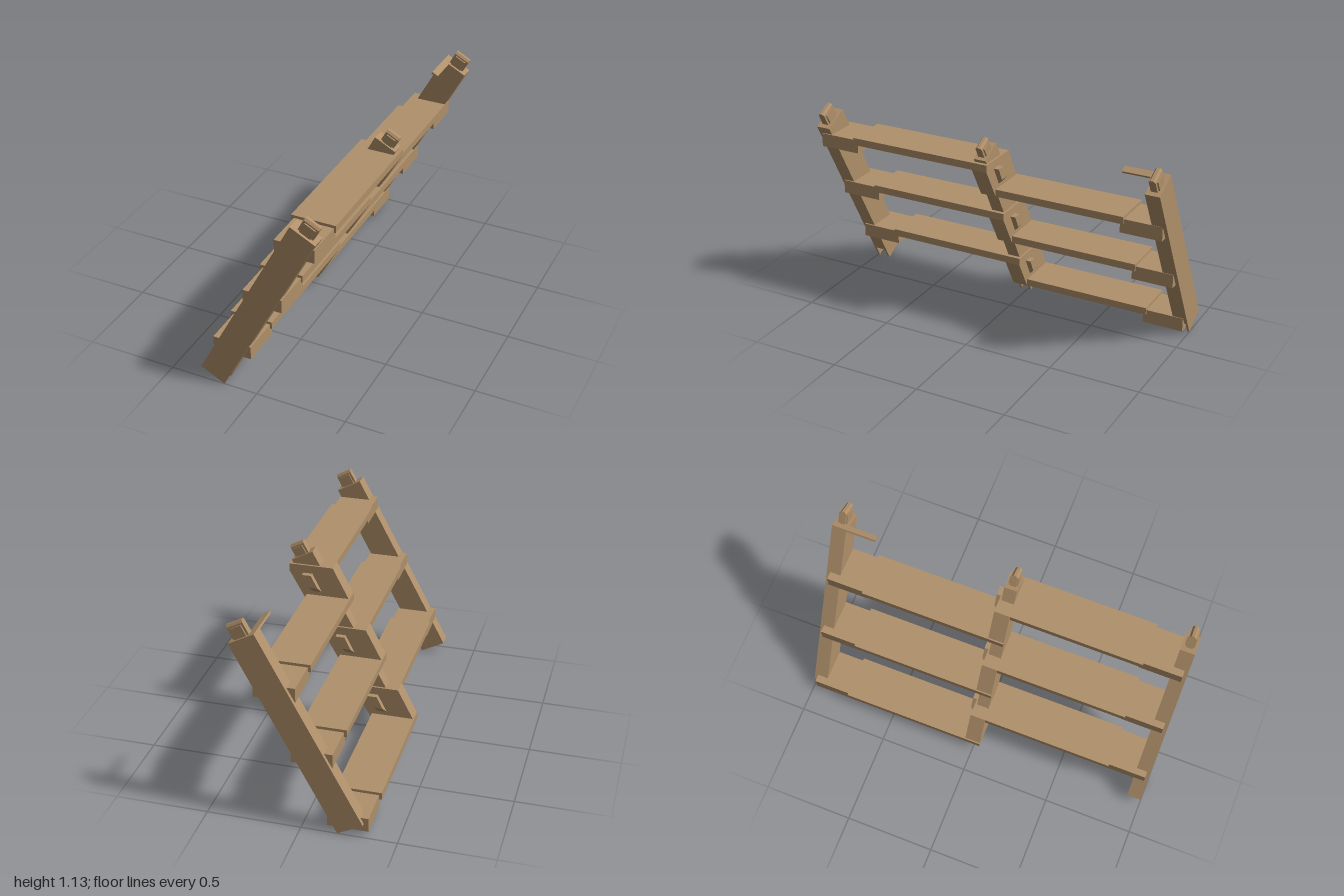
import * as THREE from 'three';

const wood = new THREE.MeshStandardMaterial({ color: 0xb0906a });
wood.name = 'tan wood';

function add(parent, name, geometry, x = 0, y = 0, z = 0) {
  const mesh = new THREE.Mesh(geometry, wood);
  mesh.name = name;
  mesh.position.set(x, y, z);
  parent.add(mesh);
  return mesh;
}

// box given by its extents
function block(parent, name, x0, x1, y0, y1, z0, z1) {
  return add(parent, name, new THREE.BoxGeometry(x1 - x0, y1 - y0, z1 - z0),
    (x0 + x1) / 2, (y0 + y1) / 2, (z0 + z1) / 2);
}

// flat outline in x and y, given thickness from z0 to z1
function slab(parent, name, points, z0, z1) {
  const shape = new THREE.Shape(points.map(p => new THREE.Vector2(p[0], p[1])));
  const g = new THREE.ExtrudeGeometry(shape, { depth: z1 - z0, bevelEnabled: false });
  return add(parent, name, g, 0, 0, z0);
}

// sloping rail with a slotted foot and a ribbed tenon on top
function makeRail(name, z, width, length, thick, tenonWidth, tenonLength) {
  const rail = new THREE.Group();
  rail.name = name;
  rail.position.set(0.011, 0.546, z);
  rail.rotation.z = -0.487;
  const w = width / 2, h = length / 2, t = thick / 2, cheek = 0.012;
  // core, cut away at the foot between the two cheeks
  slab(rail, 'railCore', [[-w, -h], [w - 0.07, -h], [w - 0.07, -h + 0.07],
    [w, -h + 0.07], [w, h], [-w, h]], -t + cheek, t - cheek);
  for (const s of [-1, 1]) {
    const c = s * (t - cheek / 2);
    block(rail, 'railCheek', -w, w, -h, h, c - cheek / 2, c + cheek / 2);
  }
  // tenon with chamfered top
  const n = 0.018, e = tenonWidth / 2, top = h + tenonLength;
  const profile = [[-n, h], [n, h], [n, top - 0.012], [n - 0.01, top], [-n + 0.01, top], [-n, top - 0.012]];
  const tenon = slab(rail, 'tenon', profile, -e, e);
  tenon.rotation.y = Math.PI / 2;
  tenon.position.set(-e + 0.005, 0, 0);
  for (const s of [-1, 1]) {
    block(rail, 'tenonRib', -e + 0.017, e - 0.008, h, top - 0.02, s * 0.021 - 0.005, s * 0.021 + 0.005);
  }
  return rail;
}

export function createModel() {
  const model = new THREE.Group();
  model.name = 'staggeredStair';

  model.add(makeRail('frontRail', 0.96, 0.15, 1.14, 0.08, 0.09, 0.08));
  model.add(makeRail('middleRail', 0, 0.13, 1.115, 0.07, 0.08, 0.07));
  const backRail = makeRail('backRail', -0.96, 0.15, 1.14, 0.08, 0.09, 0.08);
  model.add(backRail);
  // thin strip reaching in from the top of the back rail
  block(backRail, 'topStrip', -0.075, -0.036, 0.558, 0.57, 0.03, 0.205);

  for (let i = 0; i < 3; i++) {
    const step = new THREE.Group();
    step.name = 'stepPair';
    step.position.set(-0.183 * i, -0.3475 * i, 0);
    model.add(step);

    // upper tread at the front, lower tread at the back
    block(step, 'frontTread', 0.10, 0.34, 0.95, 0.99, -0.045, 0.77);
    block(step, 'frontTreadSocket', 0.115, 0.33, 0.90, 0.975, 0.75, 0.98);
    block(step, 'backTread', 0.005, 0.245, 0.78, 0.82, -0.77, 0.04);
    block(step, 'backTreadSocket', 0.02, 0.235, 0.728, 0.805, -0.98, -0.75);

    // slanted board joining both treads
    slab(step, 'joiningBoard', [[0.005, 0.78], [0.245, 0.78], [0.34, 0.95],
      [0.34, 0.99], [0.10, 0.99], [0.01, 0.815]], -0.046, 0.041);

    // pin through the board, tapered towards the bottom
    const pin = slab(step, 'pin', [[-0.045, 0], [0.045, 0], [0.075, 0.035],
      [0.075, 0.105], [-0.075, 0.105], [-0.075, 0.035]], -0.025, 0.025);
    pin.geometry.translate(0, 0, 0.025);
    pin.geometry.rotateY(Math.PI / 2);
    const p = pin.geometry.attributes.position;
    for (let k = 0; k < p.count; k++) p.setX(k, p.getX(k) + p.getY(k) * 0.5);
    pin.geometry.computeVertexNormals();
    pin.position.set(0.135, 0.84, 0);
  }
  return model;
}
